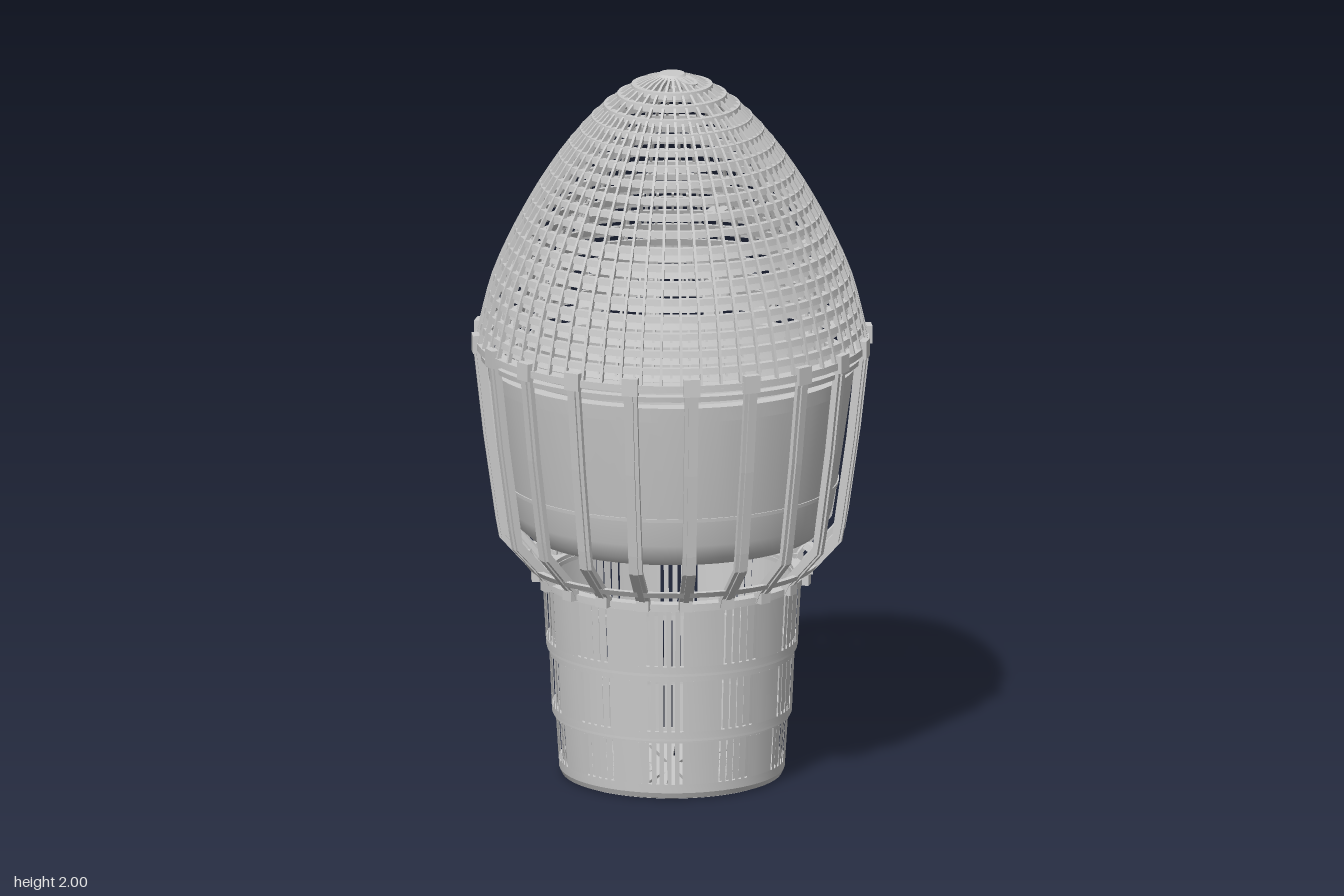
import * as THREE from 'three';
import { mergeGeometries, toCreasedNormals } from 'three/addons/utils/BufferGeometryUtils.js';

const TAU = Math.PI * 2;
const mat = new THREE.MeshStandardMaterial({ color: 0xcccccc, side: THREE.DoubleSide });
const v = (x, y) => new THREE.Vector2(x, y);

// closed rectangular section turned round the axis, from angle a over span
function band(r0, y0, r1, y1, t, segs = 60, a = 0, span = TAU) {
  const g = new THREE.LatheGeometry([v(r0 - t, y0), v(r0, y0), v(r1, y1), v(r1 - t, y1), v(r0 - t, y0)], segs, a, span);
  return toCreasedNormals(g, 0.6);
}

// flat blade following a radius/height path, with depth toward the axis
function blade(path, depth, width) {
  const inner = path.map((p, i) => {
    const a = path[Math.max(i - 1, 0)], b = path[Math.min(i + 1, path.length - 1)];
    const t = b.clone().sub(a).normalize();
    return v(p.x - t.y * depth, p.y + t.x * depth);
  });
  const shape = new THREE.Shape([...path, ...inner.reverse()]);
  const g = new THREE.ExtrudeGeometry(shape, { depth: width, bevelEnabled: false });
  return g.translate(0, 0, -width / 2);
}

// copies of a geometry round the axis
function around(g, n, offset = 0) {
  return Array.from({ length: n }, (_, i) => g.clone().rotateY(offset + (i / n) * TAU));
}

function box(w, h, d, x, y, z) {
  return new THREE.BoxGeometry(w, h, d).translate(x, y, z);
}

export function createModel() {
  const model = new THREE.Group();
  const add = (name, list) => {
    const parts = list.map((g) => {
      const p = g.index ? g.toNonIndexed() : g;
      p.deleteAttribute('uv');
      return p;
    });
    const mesh = new THREE.Mesh(mergeGeometries(parts), mat);
    mesh.name = name;
    model.add(mesh);
  };

  // stepped cup: three tiers, each with ten groups of five narrow slots
  const wall = 0.012, step = TAU / 10, pitch = 0.068, slot = 0.03;
  const cup = [];
  const tiers = [
    [0.02, 0.18, 0.312, 0.322, 0.045, 0.165],
    [0.18, 0.37, 0.332, 0.34, 0.2, 0.345],
    [0.37, 0.56, 0.348, 0.358, 0.39, 0.55],
  ];
  for (const [y0, y1, r0, r1, s0, s1] of tiers) {
    const r = (y) => r0 + ((r1 - r0) * (y - y0)) / (y1 - y0);
    cup.push(band(r0, y0, r(s0), s0, wall), band(r(s1), s1, r1, y1, wall));
    cup.push(band(r1 + 0.006, y1 - 0.008, r1 + 0.006, y1 + 0.004, 0.03));
    for (let i = 0; i < 10; i++) {
      const a = i * step;
      const half = 2 * pitch + slot / 2;
      cup.push(band(r(s0), s0, r(s1), s1, wall, 4, a + half, step - 2 * half));
      for (let k = -2; k < 2; k++)
        cup.push(band(r(s0), s0, r(s1), s1, wall, 1, a + k * pitch + slot / 2, pitch - slot));
    }
  }
  cup.push(toCreasedNormals(new THREE.LatheGeometry([v(0.29, 0), v(0.305, 0.005), v(0.312, 0.02)], 60), 0.8));
  add('slottedCup', cup);

  // cup floor with radial slots
  const disc = new THREE.Shape().absarc(0, 0, 0.292, 0, TAU);
  for (let i = 0; i < 20; i++) {
    const a = (i / 20) * TAU, r0 = i % 2 ? 0.13 : 0.06, r1 = 0.25, w = 0.005;
    const pt = (r, s) => v(r * Math.cos(a) - s * Math.sin(a), r * Math.sin(a) + s * Math.cos(a));
    disc.holes.push(new THREE.Path([pt(r0, -w), pt(r0, w), pt(r1, w), pt(r1, -w)]));
  }
  const floor = new THREE.ExtrudeGeometry(disc, { depth: 0.012, bevelEnabled: false, curveSegments: 60 });
  add('cupFloor', [floor.rotateX(-Math.PI / 2)]);

  // collar and cage hoops
  add('cageHoops', [
    band(0.372, 0.56, 0.372, 0.575, 0.035),
    band(0.405, 0.602, 0.415, 0.618, 0.018),
    band(0.532, 1.195, 0.534, 1.21, 0.03),
    band(0.545, 1.225, 0.545, 1.245, 0.04),
  ]);

  // twenty bent cage ribs: wide strip, narrow spine and top clip
  const ribPath = [v(0.372, 0.56), v(0.384, 0.585), v(0.474, 0.685), v(0.484, 0.74), v(0.518, 0.98), v(0.546, 1.23)];
  const spine = ribPath.map((p) => v(p.x + 0.006, p.y));
  add('cageRibs', [
    ...around(blade(ribPath, 0.012, 0.038), 20, TAU / 40),
    ...around(blade(spine, 0.03, 0.016), 20, TAU / 40),
  ]);
  add('ribClips', [
    ...around(box(0.02, 0.05, 0.045, 0.545, 1.24, 0), 20, TAU / 40),
    ...around(box(0.03, 0.03, 0.035, 0.375, 0.572, 0), 20, TAU / 40),
  ]);

  // rounded bucket held inside the cage, open at the top
  const bucket = new THREE.LatheGeometry([
    v(0, 0.69), v(0.37, 0.69), v(0.405, 0.697), v(0.43, 0.72), v(0.443, 0.76), v(0.458, 0.84),
    v(0.5, 1.13), v(0.506, 1.13), v(0.511, 1.172), v(0.47, 1.172), v(0.47, 1.12), v(0.44, 0.84),
    v(0.42, 0.74), v(0.37, 0.71), v(0, 0.71),
  ], 80);
  add('bucket', [toCreasedNormals(bucket, 0.6), band(0.461, 0.832, 0.462, 0.842, 0.01, 80)]);

  // pointed dome profile, from its base to the tip
  const curve = new THREE.SplineCurve([
    v(0.545, 1.235), v(0.505, 1.4), v(0.465, 1.5), v(0.415, 1.6), v(0.357, 1.7),
    v(0.287, 1.8), v(0.197, 1.9), v(0.1, 1.97), v(0.03, 1.995),
  ]);
  const n = 20, profile = curve.getSpacedPoints(n);
  add('domeRings', profile.slice(1, n - 1).map((p) => band(p.x - 0.003, p.y - 0.009, p.x - 0.006, p.y + 0.009, 0.018)));

  // thirty full and thirty shorter dome ribs
  add('domeRibs', [
    ...around(blade(profile, 0.012, 0.007), 30),
    ...around(blade(profile.slice(0, n - 3), 0.012, 0.007), 30, TAU / 60),
  ]);
  add('backRib', [blade(profile.slice(5, n - 1), 0.025, 0.014).rotateY(Math.PI / 2)]);

  // inner basket in the lower dome
  const inner = profile.slice(0, 8).map((p) => v(p.x - 0.045, p.y));
  add('innerBasket', [
    ...inner.map((p) => band(p.x, p.y + 0.01, p.x - 0.008, p.y + 0.03, 0.014)),
    ...around(blade(inner, 0.008, 0.007), 60, TAU / 120),
  ]);
  add('innerTabs', around(box(0.06, 0.015, 0.05, -0.345, 1.515, 0).rotateZ(0), 5));
  add('tabArms', around(box(0.09, 0.01, 0.015, -0.39, 1.512, 0), 5));

  // curved plate on the back of the dome
  add('backPlate', [band(0.538, 1.27, 0.52, 1.345, 0.012, 6, Math.PI - 0.34, 0.34)]);

  // hub with two rounded loops at the tip
  const loop = new THREE.Shape().absellipse(0, 0, 0.034, 0.026, 0, TAU);
  loop.holes.push(new THREE.Path().absellipse(0, 0, 0.022, 0.015, 0, TAU));
  const loopGeo = new THREE.ExtrudeGeometry(loop, { depth: 0.012, bevelEnabled: false }).rotateX(-Math.PI / 2);
  add('tipHub', [
    new THREE.CylinderGeometry(0.035, 0.045, 0.012, 30).translate(0, 1.992, 0),
    ...[-1, 1].map((s) => loopGeo.clone().rotateZ(-s * 0.25).translate(s * 0.05, 1.976, 0)),
  ]);
  return model;
}
